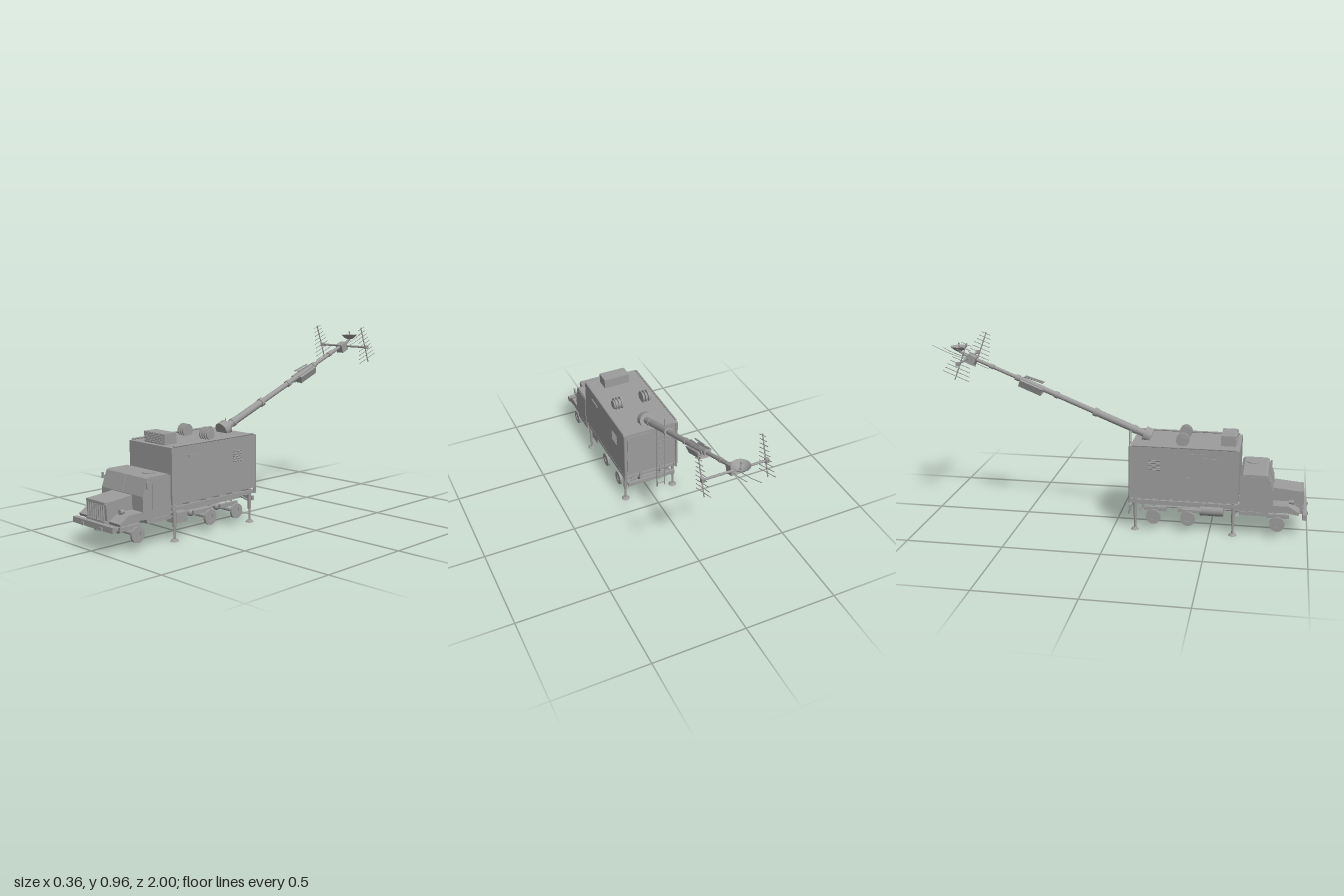
import * as THREE from 'three';

export function createModel() {
  const model = new THREE.Group();
  model.name = 'antennaTruck';
  const truck = new THREE.Group();
  truck.name = 'truck';
  truck.position.x = 0.004;
  model.add(truck);
  const grey = new THREE.MeshStandardMaterial({ color: 0x9c9c9c, side: THREE.DoubleSide });
  grey.name = 'plain grey';

  const add = (name, geo, x = 0, y = 0, z = 0, parent = truck) => {
    const m = new THREE.Mesh(geo, grey);
    m.name = name;
    m.position.set(x, y, z);
    parent.add(m);
    return m;
  };
  // box given by its minimum and maximum along each axis
  const box = (name, x0, x1, y0, y1, z0, z1, parent) =>
    add(name, new THREE.BoxGeometry(x1 - x0, y1 - y0, z1 - z0), (x0 + x1) / 2, (y0 + y1) / 2, (z0 + z1) / 2, parent);
  // cylinder between two points
  const rod = (name, a, b, r, sides = 8, r2 = r) => {
    const p = new THREE.Vector3(...a), q = new THREE.Vector3(...b);
    const m = add(name, new THREE.CylinderGeometry(r2, r, p.distanceTo(q), sides));
    m.position.copy(p).lerp(q, 0.5);
    m.quaternion.setFromUnitVectors(new THREE.Vector3(0, 1, 0), q.sub(p).normalize());
    return m;
  };
  // side profile of [z, y] points extruded across x
  const profile = (name, pts, x0, x1) => {
    const s = new THREE.Shape(pts.map(p => new THREE.Vector2(...p)));
    const g = new THREE.ExtrudeGeometry(s, { depth: x1 - x0, bevelEnabled: false });
    g.rotateY(-Math.PI / 2);
    return add(name, g, x1);
  };

  // equipment body with roof rails and corner posts
  box('vanBody', -0.158, 0.158, 0.18, 0.455, 0.087, 0.645);
  for (const s of [-1, 1]) {
    rod('roofRail', [s * 0.155, 0.459, 0.1], [s * 0.155, 0.459, 0.63], 0.005);
    rod('cornerPost', [s * 0.153, 0.15, 0.087], [s * 0.153, 0.453, 0.087], 0.007);
    box('sideSlot', s * 0.16 - 0.003, s * 0.16 + 0.003, 0.4, 0.41, 0.46, 0.54);
    for (let i = 0; i < 5; i++) {
      const l = box('sideLouvre', s * 0.16 - 0.004, s * 0.16 + 0.004, 0.335 + i * 0.012, 0.339 + i * 0.012, 0.185, 0.245);
      l.rotation.z = s * 0.5;
    }
  }
  // side door, rear door and entry step
  box('sideDoor', -0.161, -0.157, 0.19, 0.43, 0.37, 0.47);
  box('doorHandle', -0.166, -0.16, 0.3, 0.305, 0.375, 0.395);
  box('entryStep', -0.185, -0.15, 0.132, 0.138, 0.365, 0.46);
  box('rearDoor', 0.0, 0.14, 0.2, 0.44, 0.083, 0.088);

  // roof cooling unit with louvred front
  box('coolingUnit', -0.074, 0.076, 0.455, 0.508, 0.545, 0.62);
  for (let i = 0; i < 6; i++) box('coolingLouvre', -0.066, 0.07, 0.461 + i * 0.008, 0.465 + i * 0.008, 0.619, 0.626);

  // roof ventilators made of upright discs
  for (const s of [-1, 1]) for (let i = 0; i < 3; i++) {
    const x = s * (0.06 + i * 0.017);
    rod('ventilator', [x, 0.48, 0.35], [x + s * 0.007, 0.48, 0.35], 0.033, 20);
    rod('ventilatorCore', [x, 0.478, 0.35], [x + s * 0.015, 0.478, 0.35], 0.025, 16);
  }

  // rear ladder
  for (const x of [-0.074, -0.03]) rod('ladderRail', [x, 0.055, 0.072], [x, 0.51, 0.072], 0.003, 6);
  for (let y = 0.075; y < 0.46; y += 0.037) rod('ladderRung', [-0.074, y, 0.072], [-0.03, y, 0.072], 0.0025, 6);

  // cab, bonnet and fenders
  profile('cab', [[0.652, 0.14], [0.82, 0.14], [0.82, 0.25], [0.79, 0.33], [0.78, 0.335],
    [0.665, 0.335], [0.652, 0.325]], -0.155, 0.155);
  profile('bonnet', [[0.8, 0.14], [0.965, 0.14], [0.97, 0.225], [0.955, 0.234], [0.82, 0.247], [0.8, 0.247]], -0.073, 0.077);
  for (const s of [-1, 1]) {
    profile('fender', [[0.76, 0.12], [0.795, 0.12], [0.8, 0.142], [0.89, 0.142], [0.95, 0.132], [0.955, 0.145],
      [0.9, 0.178], [0.76, 0.178]], s > 0 ? 0.073 : -0.155, s > 0 ? 0.155 : -0.073);
    rod('headlight', [s * 0.117, 0.19, 0.9], [s * 0.117, 0.19, 0.925], 0.009, 14, 0.012);
    rod('mirrorArm', [s * 0.153, 0.3, 0.79], [s * 0.17, 0.3, 0.805], 0.002, 6);
    box('mirror', s * 0.169 - 0.004, s * 0.169 + 0.004, 0.287, 0.316, 0.797, 0.807);
    box('cabDoor', s * 0.156 - 0.002, s * 0.156 + 0.002, 0.15, 0.325, 0.665, 0.765);
    box('runningBoard', s * 0.13 - 0.025, s * 0.13 + 0.025, 0.118, 0.138, 0.652, 0.79);
  }
  const post = box('windscreenPost', -0.003, 0.003, 0.252, 0.333, 0.804, 0.81);
  post.rotation.x = -0.36;
  rod('cabHatch', [0.065, 0.334, 0.71], [0.065, 0.339, 0.71], 0.032, 24);
  for (let i = 0; i < 8; i++) box('grilleSlat', -0.058 + i * 0.0165, -0.053 + i * 0.0165, 0.148, 0.22, 0.966, 0.976);
  box('grilleTop', -0.07, 0.074, 0.222, 0.235, 0.958, 0.975);
  box('grilleBottom', -0.07, 0.074, 0.14, 0.149, 0.958, 0.978);

  // bumpers
  box('frontBumper', -0.153, 0.15, 0.108, 0.136, 0.97, 0.992);
  for (const s of [-1, 1]) box('towHook', s * 0.07 - 0.006, s * 0.07 + 0.006, 0.11, 0.125, 0.99, 1.0);
  box('rearBumper', -0.14, 0.14, 0.108, 0.13, 0.078, 0.092);

  // chassis rails, subframe and cross members
  for (const s of [-1, 1]) {
    box('chassisRail', s * 0.06 - 0.008, s * 0.06 + 0.008, 0.112, 0.142, 0.085, 0.97);
    box('subframeRail', s * 0.148 - 0.006, s * 0.148 + 0.006, 0.15, 0.168, 0.09, 0.64);
    box('innerBeam', s * 0.06 - 0.006, s * 0.06 + 0.006, 0.142, 0.182, 0.09, 0.64);
  }
  for (const z of [0.1, 0.21, 0.3, 0.39, 0.5, 0.62]) {
    box('subframeCross', -0.152, 0.152, 0.15, 0.166, z - 0.006, z + 0.006);
    box('chassisCross', -0.06, 0.06, 0.116, 0.136, z - 0.006, z + 0.006);
  }
  box('engineSump', -0.045, 0.045, 0.1, 0.142, 0.7, 0.94);

  // fuel tank, battery box and drive shaft
  rod('fuelTank', [-0.105, 0.115, 0.45], [-0.105, 0.115, 0.57], 0.03, 20);
  box('batteryBox', 0.08, 0.14, 0.083, 0.132, 0.535, 0.615);
  rod('driveShaft', [0, 0.08, 0.21], [0, 0.085, 0.8], 0.006);

  // axles and wheels with rim and hub
  for (const z of [0.845, 0.39, 0.21]) {
    rod('axle', [-0.145, 0.074, z], [0.145, 0.074, z], 0.009, 10);
    add('differential', new THREE.SphereGeometry(0.02, 14, 10), 0, 0.074, z);
    for (const s of [-1, 1]) {
      const ring = new THREE.Shape().absarc(0, 0, 0.038, 0, Math.PI * 2);
      ring.holes.push(new THREE.Path().absarc(0, 0, 0.016, 0, Math.PI * 2, true));
      const g = new THREE.ExtrudeGeometry(ring, { depth: 0.012, bevelEnabled: false, curveSegments: 14 });
      g.translate(0, 0, -0.006).rotateY(Math.PI / 2);
      add('wheel', g, s * 0.144, 0.075, z);
      rod('hub', [s * 0.135, 0.075, z], [s * 0.146, 0.075, z], 0.017, 16);
      box('leafSpring', s * 0.085 - 0.008, s * 0.085 + 0.008, 0.088, 0.108, z - 0.06, z + 0.06);
    }
  }

  // stabiliser jacks
  for (const z of [0.622, 0.115]) for (const s of [-1, 1]) {
    const x = s * 0.145;
    rod('jackSleeve', [x, 0.07, z], [x, 0.175, z], 0.009, 10);
    rod('jackRod', [x, 0.01, z], [x, 0.08, z], 0.006, 10);
    rod('jackFoot', [x, 0, z], [x, 0.012, z], 0.022, 16, 0.012);
    rod('jackBrace', [x, 0.11, z], [s * 0.06, 0.13, z], 0.005);
  }

  // telescopic mast, at(z) gives a point on its axis
  const at = (z, lift = 0, x = 0) => [x, 0.478 + (0.145 - z) * 0.4 + lift, z];
  rod('mastPivot', at(0.175), at(0.138), 0.04, 24);
  rod('mastLower', at(0.15), at(-0.13), 0.019, 14);
  rod('mastMiddle', at(-0.12), at(-0.53), 0.014, 14);
  rod('mastUpper', at(-0.52), at(-0.8), 0.01, 12);
  for (const [z, r] of [[0.09, 0.022], [-0.12, 0.023], [-0.33, 0.018], [-0.54, 0.017], [-0.68, 0.013]])
    rod('mastCollar', at(z + 0.01), at(z - 0.01), r, 14);

  // winged equipment case slung on the mast
  const pod = new THREE.Group();
  pod.name = 'mastCase';
  pod.position.set(...at(-0.465, -0.015));
  pod.rotation.x = Math.atan(0.4);
  truck.add(pod);
  box('caseBody', -0.017, 0.017, -0.02, 0.02, -0.065, 0.06, pod);
  for (const s of [-1, 1]) {
    const wing = box('caseWing', s * 0.026 - 0.006, s * 0.026 + 0.006, -0.02, 0.02, -0.065, 0.065, pod);
    wing.rotation.z = -s * 0.35;
  }
  for (const s of [-1, 1]) rod('caseHandle', at(-0.4, 0.035, s * 0.012), at(-0.5, 0.025, s * 0.012), 0.004, 6);

  // mast head and crossbar
  const head = box('mastHead', -0.022, 0.022, 0.818, 0.865, -0.815, -0.765);
  head.rotation.x = Math.atan(0.4);
  rod('crossbar', [-0.168, 0.848, -0.81], [0.168, 0.848, -0.81], 0.006, 10);

  // ladder-like antennas at both ends of the crossbar
  for (const s of [-1, 1]) {
    const x = s * 0.161;
    box('antennaClamp', x - 0.008, x + 0.008, 0.838, 0.858, -0.82, -0.8);
    rod('antennaSpine', [x, 0.765, -0.83], [x, 0.96, -0.757], 0.003, 6);
    for (let i = 0; i < 9; i++) {
      const t = i / 8, h = 0.075 - 0.048 * t;
      const y = 0.785 + 0.168 * t, z = -0.822 + 0.063 * t;
      rod('antennaElement', [x, y - h * 0.36, z + h * 0.93], [x, y + h * 0.36, z - h * 0.93], 0.0018, 5);
    }
  }

  // dish with feed and support
  const bowl = [[0, 0], [0.015, 0.003], [0.03, 0.012], [0.045, 0.028]].map(p => new THREE.Vector2(...p));
  add('dish', new THREE.LatheGeometry(bowl, 28), 0, 0.882, -0.857);
  rod('dishFeed', [0, 0.882, -0.857], [0, 0.93, -0.857], 0.0025, 6);
  add('dishFeedTip', new THREE.SphereGeometry(0.005, 8, 6), 0, 0.926, -0.857);
  rod('dishSupport', [0, 0.85, -0.8], [0, 0.884, -0.857], 0.007);

  // whip antennas, slightly curved
  for (const [x, end] of [[-0.015, -1], [0.016, -0.95]]) {
    const c = new THREE.QuadraticBezierCurve3(new THREE.Vector3(x, 0.84, -0.8),
      new THREE.Vector3(x, 0.865, -0.9), new THREE.Vector3(x * 1.3, 0.915 + (end + 1) * -0.4, end));
    add('whipAntenna', new THREE.TubeGeometry(c, 10, 0.0015, 5));
  }
  return model;
}
